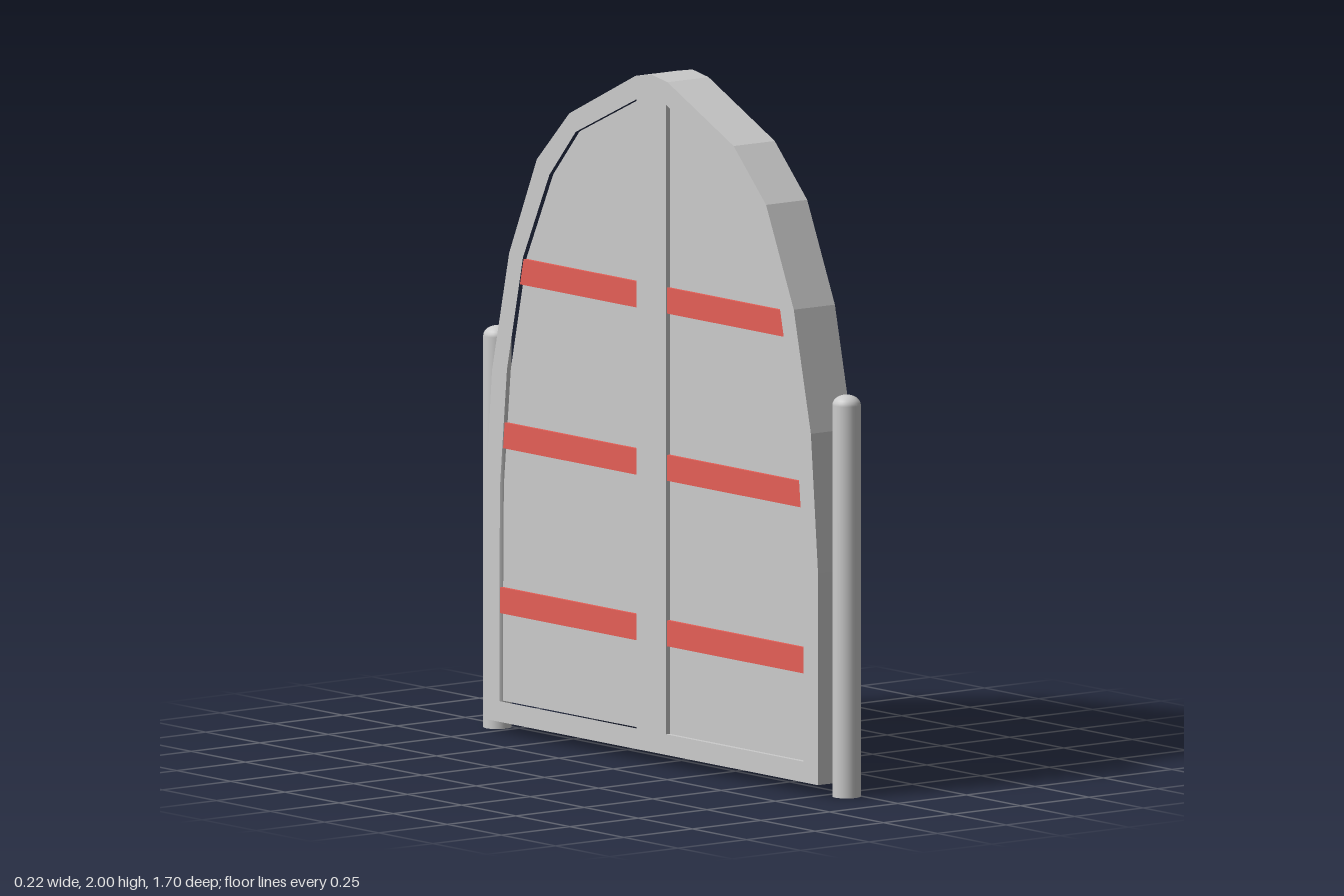
import * as THREE from 'three';

const GREY = 0xcccccc, RED = 0xe55f57, BLACK = 0x1c1a19, ORANGE = 0xd2622e;
const MID_X = -0.035;

// half outlines as [distance from the seam, height]
const OUTER = [[0, 0.035], [0.77, 0.035], [0.77, 0.65], [0.737, 1.05], [0.658, 1.4],
  [0.53, 1.688], [0.38, 1.84], [0.074, 1.987], [0, 2]];
const INNER = [[0.068, 0.095], [0.703, 0.095], [0.703, 0.42], [0.7, 0.72], [0.668, 1.06],
  [0.594, 1.395], [0.472, 1.65], [0.35, 1.79], [0.068, 1.92]];

function material(color, flatShading = false) {
  return new THREE.MeshStandardMaterial({ color, flatShading });
}

function add(parent, name, geometry, mat) {
  const mesh = new THREE.Mesh(geometry, mat);
  mesh.name = name;
  parent.add(mesh);
  return mesh;
}

// extrudes a half outline through the door, centred on its thickness
function slab(points, side, thickness, hole) {
  const vec = (list) => list.map(([z, y]) => new THREE.Vector2(z * side, y));
  const shape = new THREE.Shape(vec(points));
  if (hole) shape.holes.push(new THREE.Path(vec(hole)));
  const geo = new THREE.ExtrudeGeometry(shape, { depth: thickness, bevelEnabled: false });
  return geo.translate(0, 0, -thickness / 2).rotateY(-Math.PI / 2).translate(MID_X, 0, 0);
}

// panel edge distance at a given height
function edgeAt(y) {
  for (let i = 1; i < INNER.length - 1; i++) {
    const [z0, y0] = INNER[i], [z1, y1] = INNER[i + 1];
    if (y <= y1) return z0 + (z1 - z0) * (y - y0) / (y1 - y0);
  }
  return INNER[0][0];
}

function createDoor(side) {
  const door = new THREE.Group();
  door.name = side > 0 ? 'frontDoor' : 'backDoor';
  add(door, 'doorFrame', slab(OUTER, side, 0.15, INNER), material(GREY));
  add(door, 'recessedPanel', slab(INNER, side, 0.122), material(GREY));
  for (const y of [0.35, 0.83, 1.315]) {
    const top = y + 0.075;
    const band = [[0.068, y], [edgeAt(y), y], [edgeAt(top), top], [0.068, top]];
    add(door, 'redBand', slab(band, side, 0.144), material(RED));
  }
  return door;
}

// lion head holding a ring; local +z points out of the door
function createKnocker() {
  const knocker = new THREE.Group();
  const black = material(BLACK, true), orange = material(ORANGE, true);
  const blob = (name, mat, [x, y, z], [sx, sy, sz], tilt = 0) => {
    const mesh = add(knocker, name, new THREE.IcosahedronGeometry(1, 1), mat);
    mesh.position.set(x, y, z);
    mesh.scale.set(sx, sy, sz);
    mesh.rotation.z = tilt;
  };

  blob('skull', black, [0, 0, 0.01], [0.062, 0.07, 0.05]);
  // mane locks round the head, narrowing to the chin
  for (let i = 0; i < 12; i++) {
    const a = (i + 0.5) / 12 * Math.PI * 2;
    const y = Math.sin(a) * 0.055;
    const x = Math.cos(a) * (y < -0.02 ? 0.05 : 0.061);
    blob('maneLock', black, [x, y + 0.002, 0.016], [0.023, 0.02, 0.022], a);
  }
  blob('forelock', black, [0, 0.045, 0.034], [0.036, 0.022, 0.018]);
  blob('noseBridge', black, [0, 0.008, 0.05], [0.011, 0.03, 0.016]);
  blob('nose', black, [0, -0.018, 0.062], [0.013, 0.009, 0.009]);
  blob('chin', black, [0, -0.07, 0.03], [0.025, 0.015, 0.02]);
  blob('lowerLip', orange, [0, -0.062, 0.042], [0.02, 0.007, 0.014]);
  for (const s of [-1, 1]) {
    blob('ear', black, [s * 0.05, 0.062, 0.015], [0.018, 0.018, 0.016]);
    blob('brow', orange, [s * 0.022, 0.03, 0.05], [0.02, 0.005, 0.008], s * 0.25);
    blob('eyeSocket', orange, [s * 0.026, 0.01, 0.045], [0.018, 0.012, 0.012]);
    blob('eye', black, [s * 0.024, 0.011, 0.053], [0.011, 0.007, 0.007]);
    blob('cheek', orange, [s * 0.04, -0.024, 0.036], [0.012, 0.024, 0.014], s * -0.35);
    blob('muzzle', orange, [s * 0.015, -0.037, 0.049], [0.017, 0.015, 0.016]);
    blob('whiskerPad', black, [s * 0.017, -0.036, 0.06], [0.011, 0.01, 0.008]);
  }

  const ring = add(knocker, 'knockerRing', new THREE.TorusGeometry(0.062, 0.0125, 12, 40), material(GREY));
  ring.position.set(0, -0.11, 0.015);
  return knocker;
}

// round post with a softened top
function createPost() {
  const profile = [[0, 0], [0.041, 0]].map(([x, y]) => new THREE.Vector2(x, y));
  const wall = [new THREE.Vector2(0.041, 0), new THREE.Vector2(0.041, 1.135)];
  for (let i = 1; i <= 6; i++) {
    const a = i / 6 * Math.PI / 2;
    wall.push(new THREE.Vector2(0.041 * Math.cos(a), 1.135 + 0.03 * Math.sin(a)));
  }
  const post = new THREE.Group();
  add(post, 'postShaft', new THREE.LatheGeometry(wall, 32), material(GREY));
  const base = add(post, 'postBase', new THREE.LatheGeometry(profile, 32), material(GREY));
  base.material.side = THREE.DoubleSide;
  return post;
}

export function createModel() {
  const model = new THREE.Group();
  model.name = 'archedDoubleDoor';
  for (const side of [1, -1]) {
    model.add(createDoor(side));

    const knocker = createKnocker();
    knocker.name = side > 0 ? 'frontKnocker' : 'backKnocker';
    knocker.position.set(0.04, 0.865, side * 0.235);
    knocker.rotation.y = Math.PI / 2;
    model.add(knocker);

    const post = createPost();
    post.name = side > 0 ? 'frontPost' : 'backPost';
    post.position.set(MID_X, 0, side * 0.807);
    model.add(post);
  }
  return model;
}
